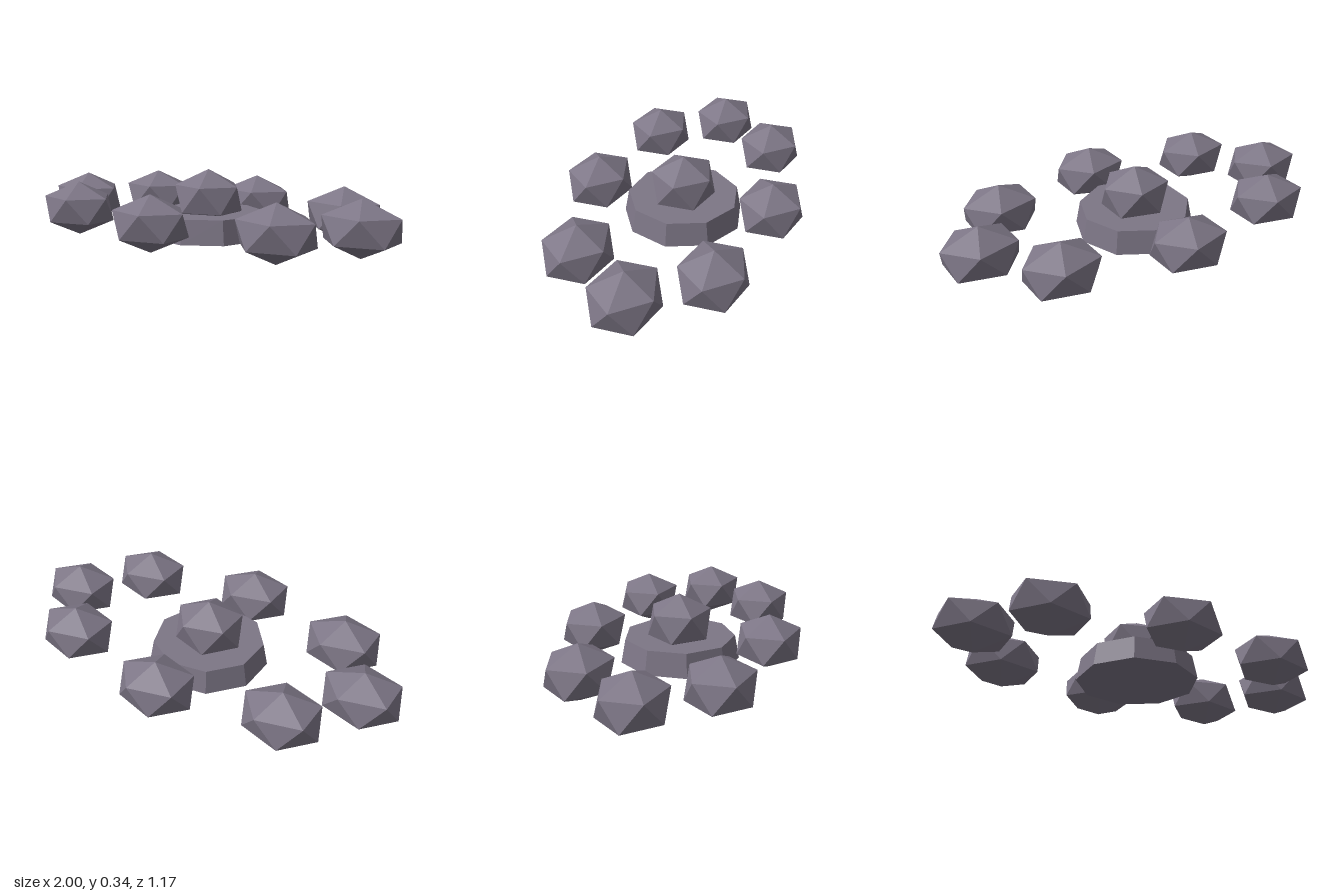
import * as THREE from 'three';

// Unit icosahedron standing on a point: two poles and two staggered rings of five.
function boulderGeometry() {
  const top = [], bottom = [], tris = [];
  const r = 2 / Math.sqrt(5), h = 1 / Math.sqrt(5);
  const ring = (angle, y) => [r * Math.cos(angle), y, r * Math.sin(angle)];
  for (let k = 0; k <= 5; k++) {
    const a = (k * 2 * Math.PI) / 5;
    top.push(ring(a, h));
    bottom.push(ring(a + Math.PI / 5, -h));
  }
  for (let k = 0; k < 5; k++) {
    tris.push([0, 1, 0], top[k + 1], top[k]);
    tris.push(top[k], top[k + 1], bottom[k]);
    tris.push(bottom[k], top[k + 1], bottom[k + 1]);
    tris.push([0, -1, 0], bottom[k], bottom[k + 1]);
  }
  const geo = new THREE.BufferGeometry();
  geo.setAttribute('position', new THREE.Float32BufferAttribute(tris.flat(), 3));
  geo.computeVertexNormals();
  return geo;
}

export function createModel() {
  const group = new THREE.Group();
  const stone = new THREE.MeshStandardMaterial({ color: 0x7d7686, flatShading: true });
  stone.name = 'stone';

  // Nine-sided tapered slab in the middle, one corner towards +x
  const slab = new THREE.Mesh(
    new THREE.CylinderGeometry(0.273, 0.295, 0.116, 9, 1, false, Math.PI / 2), stone);
  slab.name = 'centreSlab';
  slab.position.y = 0.077;
  group.add(slab);

  const rock = boulderGeometry();
  const addRock = (name, position, scale) => {
    const mesh = new THREE.Mesh(rock, stone);
    mesh.name = name;
    mesh.position.set(...position);
    mesh.scale.set(...scale);
    group.add(mesh);
  };

  // Boulder resting on the slab
  addRock('centreBoulder', [0, 0.202, 0], [0.188, 0.141, 0.171]);

  // Eight boulders on an oval around it
  for (let i = 0; i < 8; i++) {
    const a = (i * Math.PI) / 4;
    addRock(`ringBoulder${i + 1}`,
      [0.816 * Math.cos(a), 0.137, 0.44 * Math.sin(a)], [0.205, 0.133, 0.171]);
  }
  return group;
}
